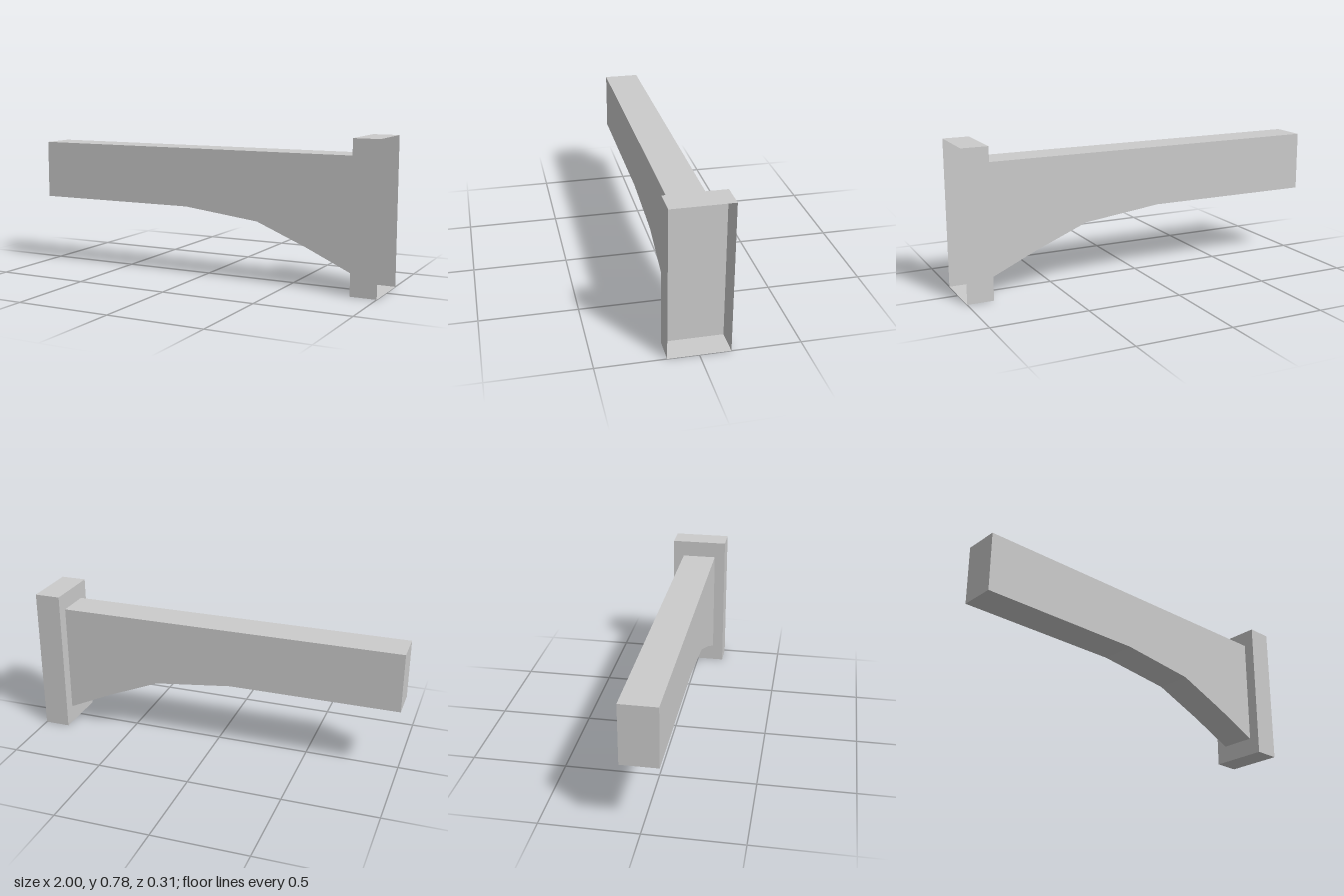
import * as THREE from 'three';

export function createModel() {
  const group = new THREE.Group();
  const plateX = 0.862;

  // Beam: side outline with a faceted haunch underneath, extruded across z
  const outline = [
    [-1, 0.69], [-1, 0.375], [-0.09, 0.375], [0.33, 0.325],
    [0.61, 0.21], [plateX - 0.001, 0.095], [plateX - 0.001, 0.69],
  ].map(([x, y]) => new THREE.Vector2(x, y));
  const beamGeometry = new THREE.ExtrudeGeometry(new THREE.Shape(outline), {
    depth: 0.19,
    bevelEnabled: false,
  });
  beamGeometry.translate(0, 0, -0.095);
  const beam = new THREE.Mesh(
    beamGeometry,
    new THREE.MeshStandardMaterial({ color: 0xcccccc, flatShading: true })
  );
  beam.name = 'haunchedBeam';
  group.add(beam);

  // Mounting box: thin-walled, open on its outer +x side
  const boxGeometry = new THREE.BoxGeometry(1 - plateX, 0.78, 0.31);
  boxGeometry.setIndex(Array.from(boxGeometry.index.array).slice(6)); // drop the +x face
  boxGeometry.clearGroups();
  const box = new THREE.Mesh(
    boxGeometry,
    new THREE.MeshStandardMaterial({ color: 0xcccccc, flatShading: true, side: THREE.DoubleSide })
  );
  box.position.set((1 + plateX) / 2, 0.39, 0);
  box.name = 'openMountingBox';
  group.add(box);

  return group;
}
